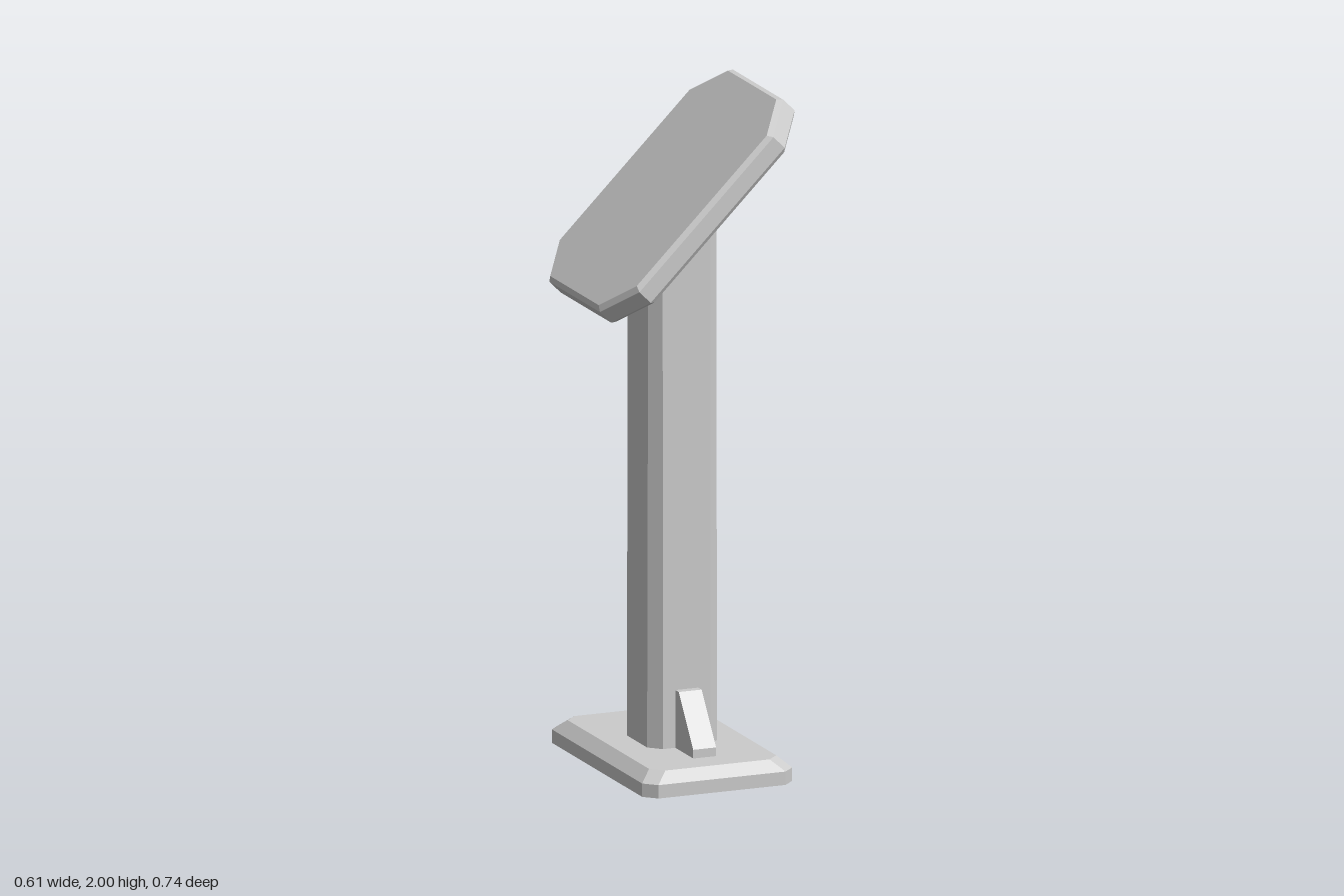
import * as THREE from 'three';

const material = new THREE.MeshStandardMaterial({ color: 0xcccccc, flatShading: true });

// Rectangle with cut corners, in the xz plane
function cutRect(y, hx, hz, cut) {
  const points = [];
  for (const [sx, sz] of [[1, 1], [-1, 1], [-1, -1], [1, -1]]) {
    const a = [sx * hx, y, sz * (hz - cut)];
    const b = [sx * (hx - cut), y, sz * hz];
    points.push(...(sx === sz ? [a, b] : [b, a]));
  }
  return points;
}

// Solid through stacked rings, each given as [y, halfX, halfZ, cornerCut]
function loft(sections) {
  const rings = sections.map((s) => cutRect(...s));
  const n = 8;
  const last = rings[rings.length - 1];
  const positions = [];
  const tri = (...corners) => corners.forEach((p) => positions.push(...p));
  for (let r = 0; r < rings.length - 1; r++) {
    for (let i = 0; i < n; i++) {
      const j = (i + 1) % n;
      tri(rings[r][i], rings[r + 1][i], rings[r][j]);
      tri(rings[r][j], rings[r + 1][i], rings[r + 1][j]);
    }
  }
  for (let i = 1; i < n - 1; i++) {
    tri(rings[0][0], rings[0][i], rings[0][i + 1]);
    tri(last[0], last[i + 1], last[i]);
  }
  const geometry = new THREE.BufferGeometry();
  geometry.setAttribute('position', new THREE.Float32BufferAttribute(positions, 3));
  geometry.computeVertexNormals();
  return geometry;
}

function addPart(group, name, geometry) {
  const mesh = new THREE.Mesh(geometry, material);
  mesh.name = name;
  group.add(mesh);
  return mesh;
}

export function createModel() {
  const group = new THREE.Group();
  group.name = 'lectern';

  // Foot plate with a bevelled upper edge
  addPart(group, 'base', loft([
    [0, 0.236, 0.372, 0.036],
    [0.04, 0.236, 0.372, 0.036],
    [0.072, 0.2, 0.338, 0.036],
  ]));

  // Chamfered post, its top sheared to meet the sloping panel
  const postGeometry = loft([[0.06, 0.11, 0.11, 0.035], [1.65, 0.107, 0.108, 0.032]]);
  const pos = postGeometry.attributes.position;
  for (let i = 0; i < pos.count; i++) {
    if (pos.getY(i) > 1) pos.setY(i, 1.65 + pos.getX(i));
  }
  postGeometry.computeVertexNormals();
  addPart(group, 'post', postGeometry);

  // Tilted panel, bevelled on both faces
  const panel = addPart(group, 'panel', loft([
    [-0.039, 0.395, 0.286, 0.106],
    [-0.025, 0.408, 0.298, 0.11],
    [0.025, 0.408, 0.298, 0.11],
    [0.039, 0.395, 0.286, 0.106],
  ]));
  panel.rotation.z = Math.PI / 4;
  panel.position.y = 1.694;

  // Braces at the front and back of the post
  const profile = new THREE.Shape([
    [0.09, 0.06], [0.243, 0.06], [0.243, 0.098], [0.135, 0.245], [0.09, 0.245],
  ].map(([z, y]) => new THREE.Vector2(z, y)));
  const braceGeometry = new THREE.ExtrudeGeometry(profile, { depth: 0.072, bevelEnabled: false });
  braceGeometry.translate(0, 0, -0.036);
  for (const [name, side] of [['frontBrace', -1], ['backBrace', 1]]) {
    addPart(group, name, braceGeometry).rotation.y = side * Math.PI / 2;
  }

  return group;
}
